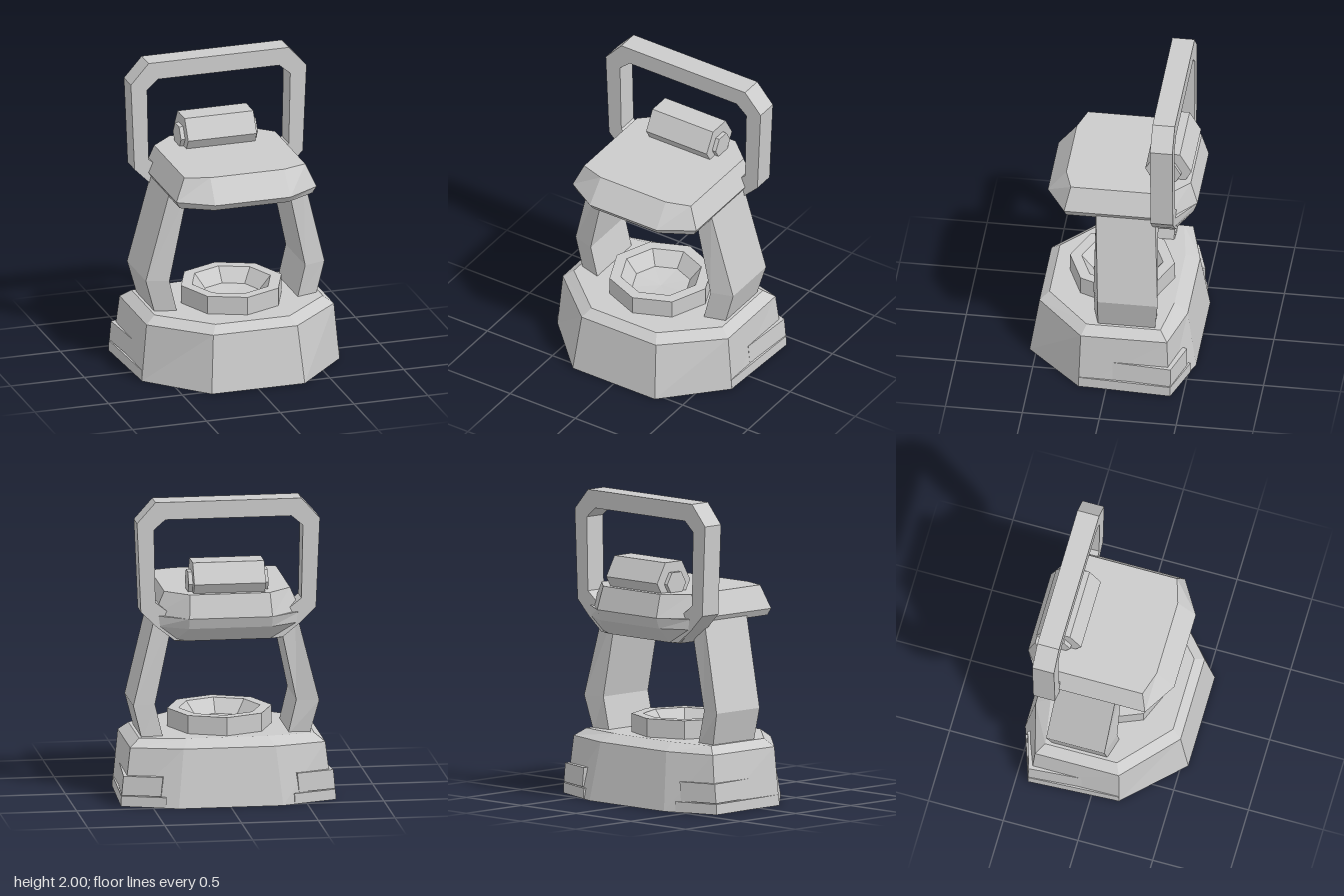
import * as THREE from 'three';

const material = new THREE.MeshStandardMaterial({ color: 0xcccccc, flatShading: true });

function part(name, geometry) {
  const mesh = new THREE.Mesh(geometry, material);
  mesh.name = name;
  return mesh;
}

// Skin horizontal rings { y, pts: [[x, z(, y)], ...] } running counter-clockwise seen from above
function loft(rings) {
  const pos = [];
  const P = rings.map(r => r.pts.map(([x, z, y]) => [x, y ?? r.y, z]));
  const n = P[0].length;
  const tri = (a, b, c) => pos.push(...a, ...b, ...c);
  for (let k = 0; k < P.length - 1; k++) {
    for (let i = 0; i < n; i++) {
      const j = (i + 1) % n;
      tri(P[k][i], P[k][j], P[k + 1][j]);
      tri(P[k][i], P[k + 1][j], P[k + 1][i]);
    }
  }
  const top = P[P.length - 1];
  for (let i = 1; i < n - 1; i++) {
    tri(P[0][0], P[0][i + 1], P[0][i]);
    tri(top[0], top[i], top[i + 1]);
  }
  const g = new THREE.BufferGeometry();
  g.setAttribute('position', new THREE.Float32BufferAttribute(pos, 3));
  g.computeVertexNormals();
  return g;
}

// Complete a left half outline (front to back) with its mirror image
const sym = (y, half) => ({ y, pts: [...half, ...half.map(([x, z]) => [-x, z]).reverse()] });

// Flip a ring to the given side of the model
const sided = (s, y, pts) => ({ y, pts: s > 0 ? pts : pts.map(([x, z]) => [-x, z]).reverse() });

export function createModel() {
  const model = new THREE.Group();
  model.name = 'lantern';

  // Base with a chamfered rim
  model.add(part('base', loft([
    sym(0, [[0.315, 0.545], [0.67, 0.18], [0.68, -0.41], [0.34, -0.54]]),
    sym(0.38, [[0.285, 0.485], [0.635, 0.17], [0.635, -0.39], [0.3, -0.48]]),
    sym(0.43, [[0.25, 0.425], [0.57, 0.14], [0.57, -0.34], [0.26, -0.39]]),
  ])));

  // Octagonal ring with a sunken bowl
  const bowl = new THREE.LatheGeometry(
    [[0.34, 0.42], [0.34, 0.55], [0.265, 0.55], [0.19, 0.46], [0, 0.445]].map(p => new THREE.Vector2(...p)), 8);
  bowl.translate(0, 0, -0.015);
  model.add(part('burnerRing', bowl));

  for (const s of [1, -1]) {
    const side = s > 0 ? 'left' : 'right';

    // Bent support leg: [height, inner x, outer x, outer front z, back z]
    const leg = [[0.41, 0.405, 0.545, 0.07, -0.3], [0.64, 0.46, 0.605, 0.065, -0.325], [1.24, 0.335, 0.455, 0.095, -0.29]];
    model.add(part(side + 'Leg', loft(leg.map(([y, xi, xo, zf, zb]) =>
      sided(s, y, [[xi, 0.11], [xo, zf], [xo, zb], [xi, -0.295]])))));

    // Worn ledges on the flanks of the base
    const low = [[0.6, 0.15], [0.67, 0.18], [0.7, -0.42], [0.42, -0.515], [0.4, -0.4]];
    model.add(part(side + 'LowerLedge', loft([
      sided(s, 0.002, low),
      sided(s, 0.07, low.map(([x, z]) => [x - 0.003, z])),
    ])));
    const high = [[0.6, -0.04], [0.665, -0.04], [0.695, -0.42], [0.45, -0.495], [0.42, -0.4]];
    model.add(part(side + 'UpperLedge', loft([
      sided(s, 0.075, high),
      sided(s, 0.2, high.map(([x, z]) => [x - 0.012, z])),
    ])));
  }

  // Roof slab, hollowed underneath
  model.add(part('roof', loft([
    sym(1.31, [[0.17, 0.24], [0.28, 0.16], [0.28, -0.2], [0.2, -0.25]]),
    sym(1.205, [[0.23, 0.34], [0.35, 0.25], [0.35, -0.22], [0.28, -0.27]]),
    sym(1.205, [[0.25, 0.4], [0.45, 0.29], [0.45, -0.35], [0.27, -0.5]]),
    sym(1.25, [[0.255, 0.435], [0.475, 0.3], [0.475, -0.37], [0.27, -0.54]]),
    sym(1.4, [[0.25, 0.315], [0.41, 0.265], [0.41, -0.36], [0.26, -0.495]]),
  ])));

  // Slanted block joining roof and handle at the back
  model.add(part('rearBracket', loft([
    sym(1.08, [[0.35, -0.28], [0.35, -0.4], [0.27, -0.42]]),
    sym(1.18, [[0.46, -0.28], [0.46, -0.41], [0.27, -0.515]]),
    sym(1.25, [[0.47, -0.28], [0.47, -0.41], [0.27, -0.54]]),
  ])));

  // Chamfered carrying handle
  const mirrored = half => [...half, ...half.map(([x, y]) => [-x, y]).reverse()].map(p => new THREE.Vector2(...p));
  const outline = new THREE.Shape(mirrored([[0.35, 1.085], [0.47, 1.18], [0.57, 1.28], [0.595, 1.865], [0.475, 2]]));
  outline.holes.push(new THREE.Path(mirrored([[0.36, 1.25], [0.475, 1.34], [0.485, 1.82], [0.41, 1.885]])));
  const handle = new THREE.ExtrudeGeometry(outline, { depth: 0.145, bevelEnabled: false });
  handle.translate(0, 0, -0.42);
  model.add(part('handle', handle));

  // Hexagonal hinge roll lying across the roof, with smaller end pins
  for (const [name, radius, length, y] of [['hingeRoll', 0.15, 0.465, 1.465], ['hingePins', 0.085, 0.52, 1.455]]) {
    const roll = new THREE.CylinderGeometry(radius, radius, length, 6);
    roll.rotateZ(Math.PI / 2);
    // turn one edge to face the front
    roll.translate(0, y, -0.345);
    model.add(part(name, roll));
  }

  return model;
}
